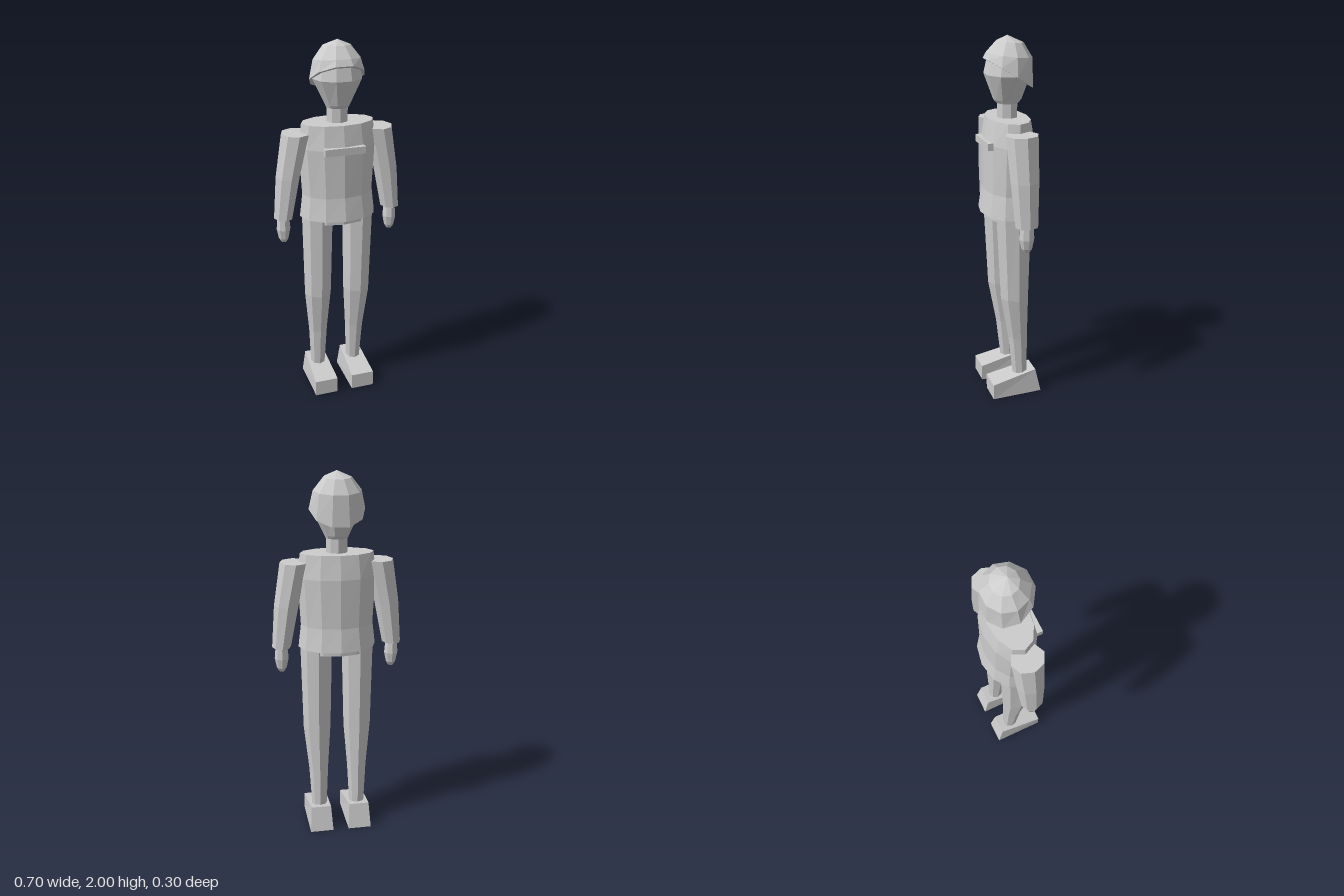
import * as THREE from 'three';

const material = new THREE.MeshStandardMaterial({ color: 0xcccccc, flatShading: true });
material.name = 'plain grey';

// Closed faceted body through elliptical rings, listed bottom to top.
// Ring: [y, centre x, centre z, radius x, radius z, slope of y along z]
function loft(name, sides, rings) {
  const pos = [];
  const point = ([y, cx, cz, rx, rz, slope = 0], j) => {
    const a = (j % sides) / sides * Math.PI * 2;
    const z = cz + rz * Math.sin(a);
    return [cx + rx * Math.cos(a), y + slope * z, z];
  };
  const centre = ([y, cx, cz, , , slope = 0]) => [cx, y + slope * cz, cz];
  const first = rings[0], last = rings[rings.length - 1];
  for (let j = 0; j < sides; j++) {
    for (let i = 0; i < rings.length - 1; i++) {
      const a = point(rings[i], j), b = point(rings[i], j + 1);
      const c = point(rings[i + 1], j + 1), d = point(rings[i + 1], j);
      pos.push(...a, ...d, ...b, ...b, ...d, ...c);
    }
    pos.push(...centre(first), ...point(first, j), ...point(first, j + 1));
    pos.push(...centre(last), ...point(last, j + 1), ...point(last, j));
  }
  const geometry = new THREE.BufferGeometry();
  geometry.setAttribute('position', new THREE.Float32BufferAttribute(pos, 3));
  geometry.computeVertexNormals();
  const mesh = new THREE.Mesh(geometry, material);
  mesh.name = name;
  return mesh;
}

// Wedge shoe: a box tapered at the heel and lowered at the toe
function shoe(name, x) {
  const geometry = new THREE.BoxGeometry(1, 1, 1);
  const p = geometry.attributes.position;
  for (let i = 0; i < p.count; i++) {
    const top = p.getY(i) > 0, toe = p.getZ(i) > 0;
    const halfWidth = top && !toe ? 0.056 : 0.065;
    const y = top ? (toe ? 0.09 : 0.14) : 0;
    const z = toe ? 0.142 : top ? -0.112 : -0.143;
    p.setXYZ(i, x + Math.sign(p.getX(i)) * halfWidth, y, z);
  }
  geometry.computeVertexNormals();
  const mesh = new THREE.Mesh(geometry, material);
  mesh.name = name;
  return mesh;
}

export function createModel() {
  const model = new THREE.Group();
  model.name = 'figure';

  // Jacket, hips and neck
  model.add(loft('jacket', 12, [
    [1.075, 0, 0, 0.21, 0.152],
    [1.2, 0, 0, 0.195, 0.132],
    [1.46, 0, 0, 0.21, 0.13],
    [1.585, 0, 0, 0.195, 0.108],
  ]));
  model.add(loft('hips', 12, [
    [1.045, 0, 0, 0.18, 0.118],
    [1.12, 0, 0, 0.18, 0.118],
  ]));
  model.add(loft('neck', 8, [
    [1.56, 0, 0, 0.057, 0.055],
    [1.7, 0, 0, 0.057, 0.055],
  ]));

  // Chest strip
  const strip = new THREE.Mesh(new THREE.BoxGeometry(0.216, 0.038, 0.03), material);
  strip.name = 'chestStrip';
  strip.position.set(0, 1.458, 0.126);
  model.add(strip);

  // Head and slanted cap
  model.add(loft('head', 10, [
    [1.66, 0, 0, 0.06, 0.06],
    [1.677, 0, 0, 0.067, 0.074],
    [1.81, 0, 0, 0.132, 0.121],
    [1.9, 0, -0.004, 0.115, 0.105],
  ]));
  model.add(loft('cap', 10, [
    [1.812, 0, -0.004, 0.147, 0.127, 0.63],
    [1.905, 0, -0.01, 0.126, 0.116, 0.12],
    [1.97, 0, -0.014, 0.074, 0.068, 0.08],
    [2, 0, 0, 0.001, 0.001],
  ]));

  for (const [side, s] of [['left', 1], ['right', -1]]) {
    // Arm and hand
    model.add(loft(side + 'Arm', 8, [
      [1.08, s * 0.301, 0, 0.051, 0.062],
      [1.31, s * 0.27, 0, 0.066, 0.077],
      [1.54, s * 0.225, 0, 0.076, 0.087],
    ]));
    model.add(loft(side + 'Hand', 8, [
      [0.94, s * 0.302, 0, 0.014, 0.015],
      [0.962, s * 0.302, 0, 0.027, 0.03],
      [1.015, s * 0.302, 0, 0.038, 0.041],
      [1.1, s * 0.302, 0, 0.03, 0.034],
    ]));
    // Leg and shoe
    model.add(loft(side + 'Leg', 8, [
      [0.115, s * 0.108, -0.037, 0.042, 0.043],
      [0.35, s * 0.109, -0.024, 0.054, 0.056],
      [0.6, s * 0.113, -0.003, 0.076, 0.08],
      [1.1, s * 0.113, 0.003, 0.087, 0.098],
    ]));
    model.add(shoe(side + 'Shoe', s * 0.109));
  }
  return model;
}
